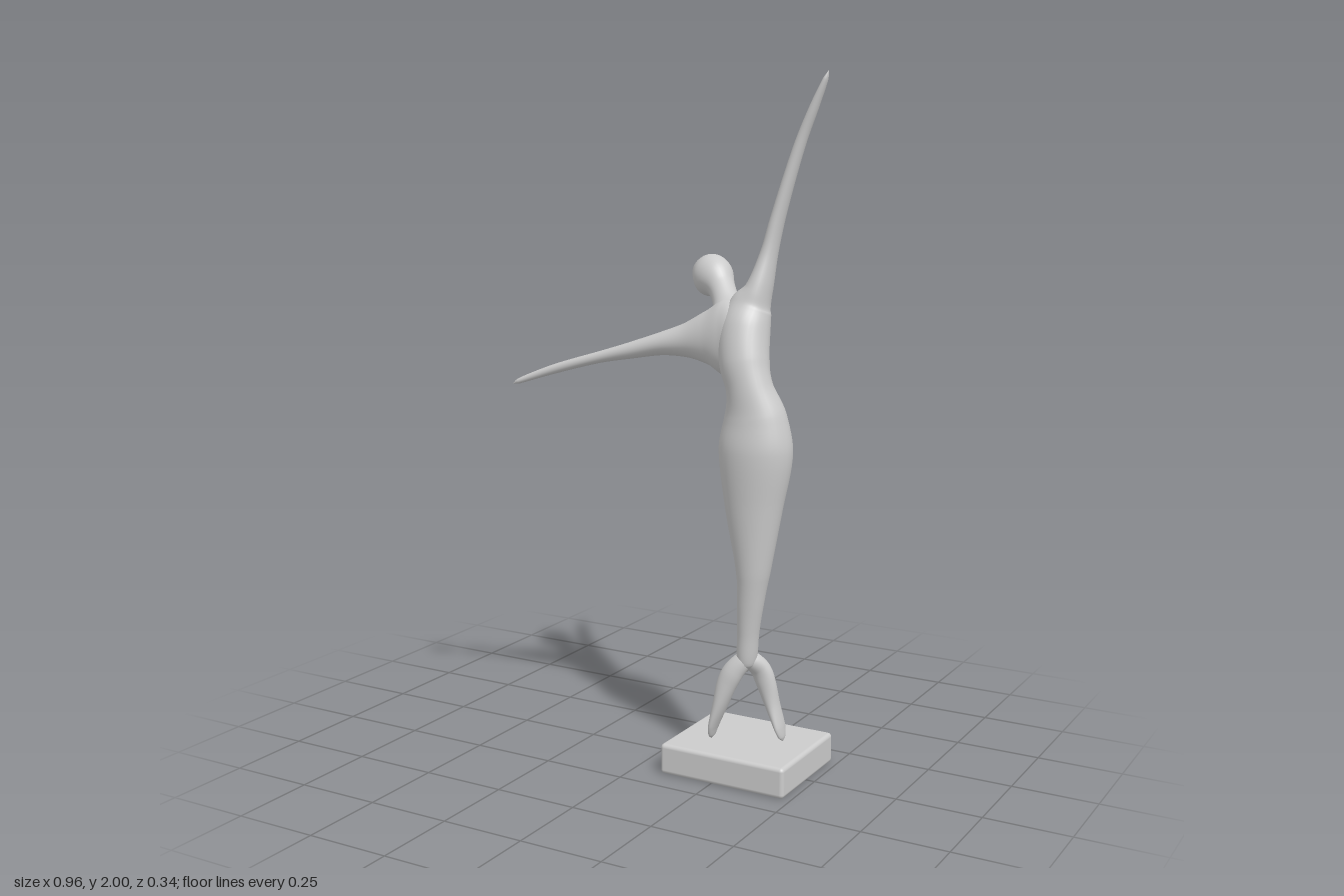
import * as THREE from 'three';
import { RoundedBoxGeometry } from 'three/addons/geometries/RoundedBoxGeometry.js';

const material = new THREE.MeshStandardMaterial({ color: 0xcccccc });

// Smooth skin through elliptical sections [x, y, z, half width, half depth along z].
function loft(name, rows, sides = 32, steps = 8) {
  const path = new THREE.CatmullRomCurve3(rows.map(r => new THREE.Vector3(r[0], r[1], r[2])));
  const size = new THREE.CatmullRomCurve3(rows.map(r => new THREE.Vector3(r[3], r[4], 0)), false, 'catmullrom', 0.5);
  const count = (rows.length - 1) * steps;
  const positions = [], index = [];
  for (let i = 0; i <= count; i++) {
    const t = i / count;
    const p = path.getPoint(t), s = size.getPoint(t), tangent = path.getTangent(t);
    const depth = new THREE.Vector3(0, 0, 1).addScaledVector(tangent, -tangent.z).normalize();
    const width = new THREE.Vector3().crossVectors(tangent, depth);
    for (let j = 0; j < sides; j++) {
      const a = j / sides * Math.PI * 2;
      const q = p.clone()
        .addScaledVector(width, Math.cos(a) * Math.max(s.x, 0))
        .addScaledVector(depth, Math.sin(a) * Math.max(s.y, 0));
      positions.push(q.x, q.y, q.z);
      if (i < count) {
        const k = i * sides, n = (j + 1) % sides;
        index.push(k + j, k + sides + j, k + n, k + n, k + sides + j, k + sides + n);
      }
    }
  }
  const geometry = new THREE.BufferGeometry();
  geometry.setAttribute('position', new THREE.Float32BufferAttribute(positions, 3));
  geometry.setIndex(index);
  geometry.computeVertexNormals();
  const mesh = new THREE.Mesh(geometry, material);
  mesh.name = name;
  return mesh;
}

export function createModel() {
  const model = new THREE.Group();
  model.name = 'dancerSculpture';

  // Plinth
  const base = new THREE.Mesh(new RoundedBoxGeometry(0.395, 0.09, 0.336, 3, 0.012), material);
  base.name = 'base';
  base.position.set(0.2825, 0.045, 0);
  model.add(base);

  // Joined legs, hips and torso flowing into the raised left arm
  model.add(loft('bodyAndRaisedArm', [
    [0.293, 0.30, 0.026, 0, 0],
    [0.293, 0.33, 0.027, 0.027, 0.031],
    [0.300, 0.42, 0.033, 0.031, 0.034],
    [0.307, 0.50, 0.037, 0.038, 0.038],
    [0.316, 0.60, 0.038, 0.049, 0.048],
    [0.313, 0.80, 0.031, 0.087, 0.070],
    [0.314, 0.95, 0.025, 0.109, 0.085],
    [0.312, 1.05, 0.027, 0.092, 0.073],
    [0.297, 1.13, 0.034, 0.068, 0.061],
    [0.275, 1.20, 0.023, 0.072, 0.068],
    [0.263, 1.29, -0.003, 0.072, 0.070],
    [0.270, 1.35, -0.022, 0.062, 0.059],
    [0.291, 1.40, -0.031, 0.038, 0.050],
    [0.313, 1.50, -0.048, 0.024, 0.033],
    [0.335, 1.60, -0.057, 0.020, 0.027],
    [0.394, 1.80, -0.067, 0.016, 0.018],
    [0.434, 1.90, -0.069, 0.013, 0.015],
    [0.467, 1.975, -0.069, 0.007, 0.010],
    [0.477, 2.0, -0.069, 0, 0],
  ]));

  // Right arm reaching sideways from the chest
  model.add(loft('outstretchedArm', [
    [-0.482, 1.090, 0.073, 0, 0],
    [-0.462, 1.099, 0.069, 0.008, 0.008],
    [-0.35, 1.140, 0.049, 0.014, 0.014],
    [-0.20, 1.184, 0.032, 0.017, 0.018],
    [-0.10, 1.209, 0.020, 0.024, 0.027],
    [0.00, 1.234, 0.005, 0.034, 0.040],
    [0.08, 1.248, -0.003, 0.051, 0.048],
    [0.15, 1.258, -0.005, 0.080, 0.055],
    [0.205, 1.262, -0.004, 0.110, 0.060],
    [0.26, 1.268, -0.002, 0.090, 0.056],
    [0.29, 1.268, -0.002, 0, 0],
  ]));

  // Neck and head tilted back over the right shoulder
  model.add(loft('neckAndHead', [
    [0.235, 1.27, 0.000, 0, 0],
    [0.215, 1.31, -0.015, 0.060, 0.055],
    [0.183, 1.358, -0.042, 0.040, 0.040],
    [0.152, 1.395, -0.070, 0.040, 0.040],
    [0.120, 1.420, -0.093, 0.058, 0.053],
    [0.090, 1.430, -0.113, 0.060, 0.054],
    [0.060, 1.434, -0.130, 0.041, 0.038],
    [0.046, 1.434, -0.138, 0.020, 0.018],
    [0.041, 1.434, -0.141, 0, 0],
  ]));

  // Feet poised on their toes, spread from the ankles
  model.add(loft('rightFoot', [
    [0.302, 0.38, 0.030, 0, 0],
    [0.290, 0.345, 0.033, 0.024, 0.025],
    [0.262, 0.305, 0.050, 0.031, 0.025],
    [0.243, 0.265, 0.055, 0.030, 0.026],
    [0.223, 0.20, 0.056, 0.021, 0.030],
    [0.203, 0.135, 0.057, 0.012, 0.029],
    [0.197, 0.105, 0.057, 0.007, 0.018],
    [0.195, 0.092, 0.057, 0, 0],
  ]));
  model.add(loft('leftFoot', [
    [0.290, 0.38, 0.026, 0, 0],
    [0.298, 0.345, 0.020, 0.024, 0.025],
    [0.322, 0.305, -0.005, 0.031, 0.025],
    [0.336, 0.265, -0.012, 0.030, 0.024],
    [0.354, 0.20, -0.020, 0.021, 0.027],
    [0.376, 0.135, -0.023, 0.012, 0.029],
    [0.384, 0.105, -0.024, 0.007, 0.018],
    [0.387, 0.092, -0.024, 0, 0],
  ]));

  return model;
}
